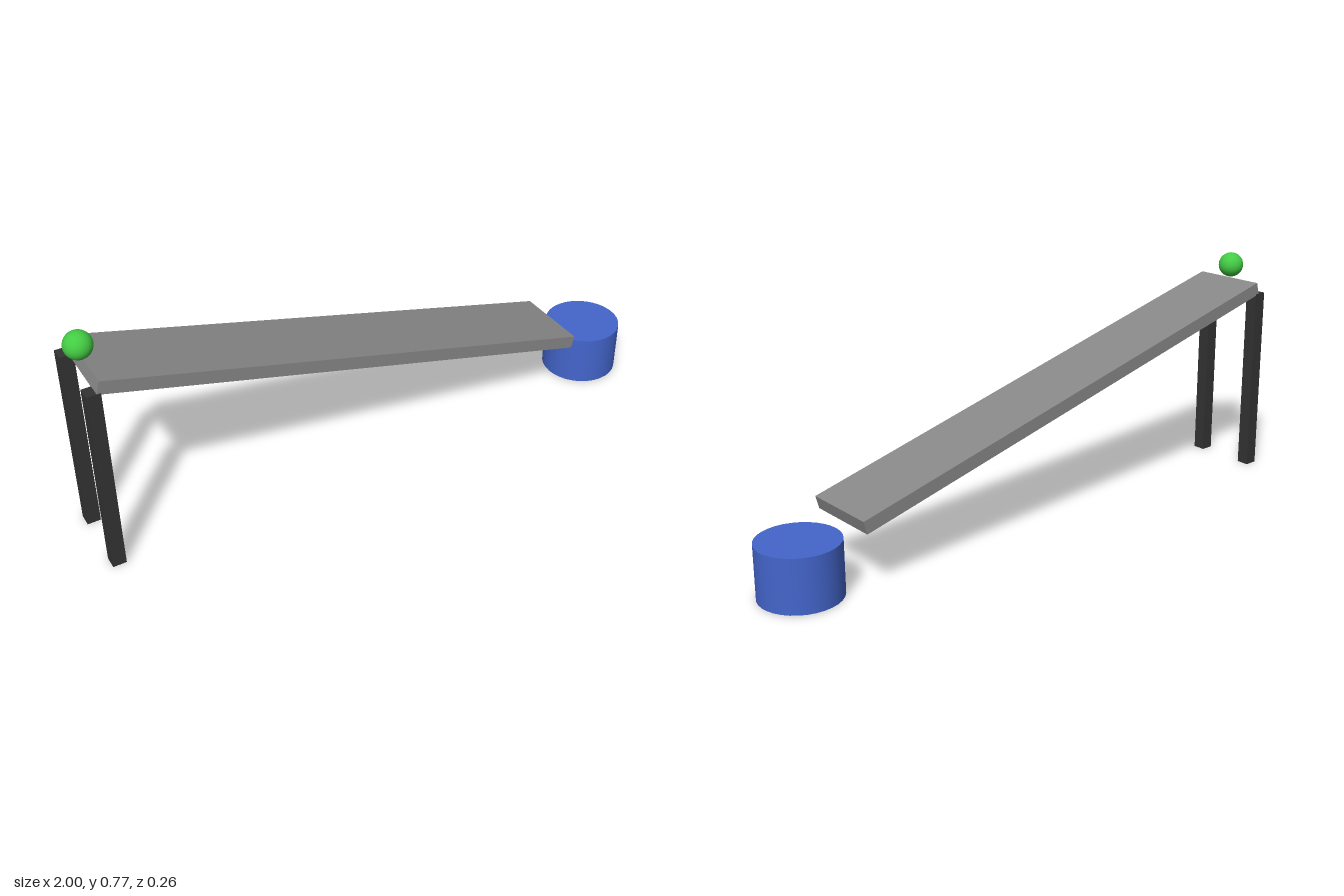
import * as THREE from 'three';

const mat = (name, color) => {
  const m = new THREE.MeshStandardMaterial({ color });
  m.name = name;
  return m;
};

export function createModel() {
  const group = new THREE.Group();
  group.name = 'ballRamp';

  const rampGrey = mat('ramp grey', 0x888888);
  const legGrey = mat('dark grey', 0x333333);
  const blue = mat('blue', 0x4466cc);
  const green = mat('green', 0x44cc44);

  const add = (name, geometry, material, x, y, z) => {
    const mesh = new THREE.Mesh(geometry, material);
    mesh.name = name;
    mesh.position.set(x, y, z);
    group.add(mesh);
    return mesh;
  };

  // Sloping plank, falling 15 degrees towards +x
  const ramp = add('ramp', new THREE.BoxGeometry(1.739, 0.0435, 0.26), rampGrey, -0.1165, 0.4375, 0);
  ramp.rotation.z = -Math.PI / 12;

  // Pair of legs under the high end
  const legHeight = 0.643;
  for (const side of [-1, 1]) {
    add(side > 0 ? 'frontLeg' : 'backLeg', new THREE.BoxGeometry(0.0435, legHeight, 0.0435),
      legGrey, -0.9705, legHeight / 2, side * 0.1085);
  }

  // Ball resting on the top edge
  add('ball', new THREE.SphereGeometry(0.0435, 32, 16), green, -0.9565, 0.729, 0);

  // Round drum at the low end
  add('drum', new THREE.CylinderGeometry(0.13, 0.13, 0.175, 32), blue, 0.87, 0.0875, 0);

  return group;
}
